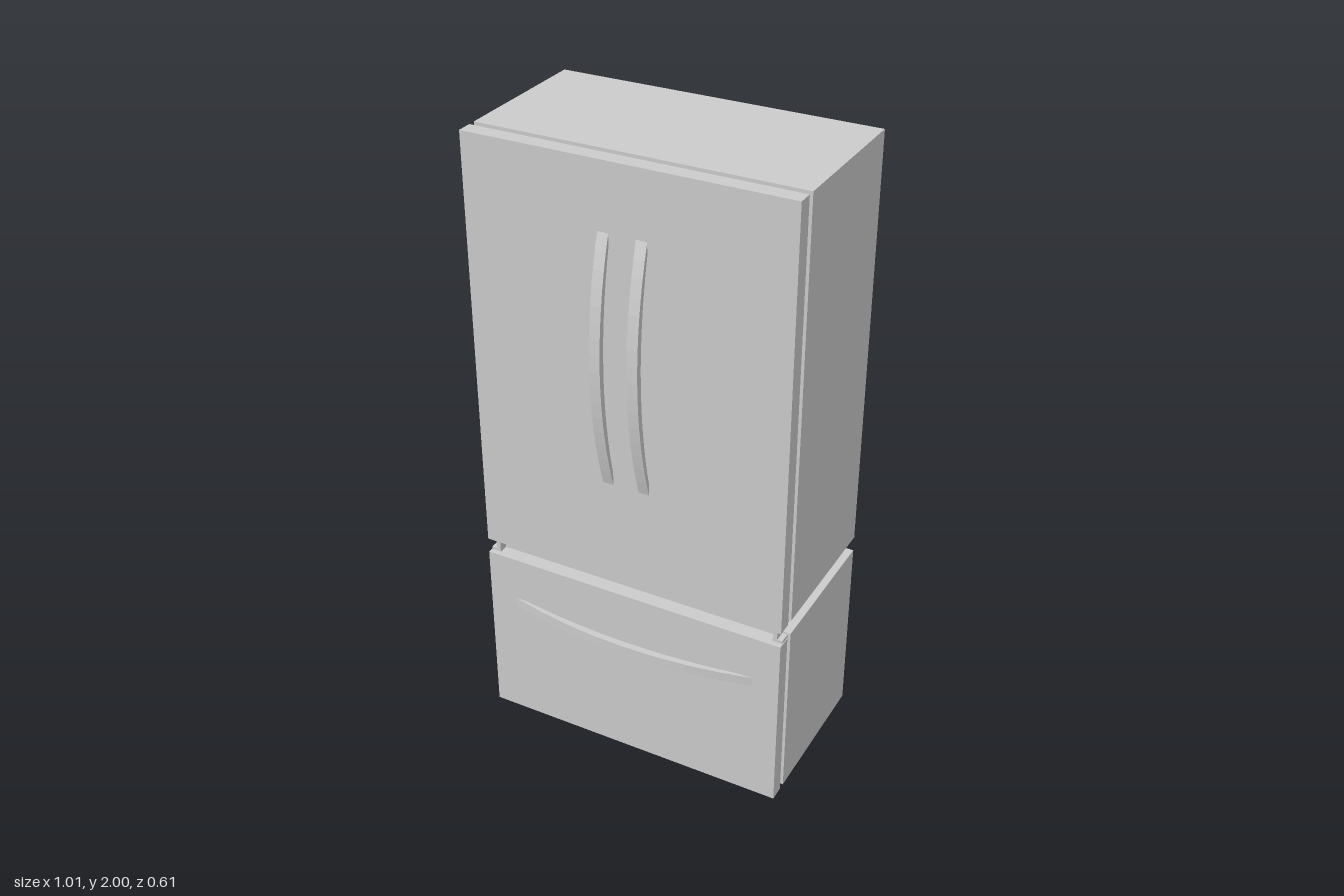
import * as THREE from 'three';

const material = new THREE.MeshStandardMaterial({ color: 0xcccccc, flatShading: true });

// Box given by its minimum and maximum on each axis
function box(name, [x0, x1], [y0, y1], [z0, z1]) {
  const mesh = new THREE.Mesh(new THREE.BoxGeometry(x1 - x0, y1 - y0, z1 - z0), material);
  mesh.position.set((x0 + x1) / 2, (y0 + y1) / 2, (z0 + z1) / 2);
  mesh.name = name;
  return mesh;
}

// Bowed bar: outline in (length, bulge), extruded across its width.
// The outer arc is longer than the inner one, so the ends sit flush on the door.
function bowGeometry(half, bulge, thickness, width, segments) {
  const inner = half * 0.9;
  const shape = new THREE.Shape();
  const rise = (t, h) => h * (1 - t * t);
  shape.moveTo(-half, 0);
  for (let i = 1; i <= segments; i++) {
    const t = -1 + (2 * i) / segments;
    shape.lineTo(half * t, rise(t, bulge));
  }
  for (let i = 0; i <= segments; i++) {
    const t = 1 - (2 * i) / segments;
    shape.lineTo(inner * t, rise(t, bulge - thickness));
  }
  const geometry = new THREE.ExtrudeGeometry(shape, { depth: width, bevelEnabled: false });
  return geometry.translate(0, 0, -width / 2);
}

export function createModel() {
  const model = new THREE.Group();
  model.name = 'refrigerator';
  const side = [-0.505, 0.505];
  const inset = [-0.475, 0.475];
  const doorFront = 0.243;

  // Cabinet halves, each with a recessed seal and a front panel
  const sections = [
    { cabinet: 'upperCabinet', seal: 'upperSeal', front: 'upperDoor', y: [0.65, 2], sealY: [0.65, 1.97] },
    { cabinet: 'lowerCabinet', seal: 'lowerSeal', front: 'drawerFront', y: [0, 0.6], sealY: [0.03, 0.6] },
  ];
  for (const s of sections) {
    model.add(box(s.cabinet, side, s.y, [-0.305, 0.172]));
    model.add(box(s.seal, inset, s.sealY, [0.165, 0.2]));
    model.add(box(s.front, side, s.y, [0.194, doorFront]));
  }

  // Recessed band joining the two halves
  model.add(box('middleBand', inset, [0.59, 0.66], [-0.288, 0.196]));

  // Small hinges in the front gap
  for (const s of [-1, 1]) {
    const hinge = new THREE.Group();
    hinge.name = s > 0 ? 'leftHinge' : 'rightHinge';
    const span = (a, b) => (s > 0 ? [a, b] : [-b, -a]);
    hinge.add(box('hingePin', span(0.472, 0.486), [0.6, 0.65], [0.19, 0.226]));
    hinge.add(box('hingePlate', span(0.475, 0.503), [0.6, 0.61], [0.19, 0.226]));
    model.add(hinge);
  }

  // Two upright door handles
  const upright = bowGeometry(0.4, 0.062, 0.02, 0.034, 16);
  for (const [name, x] of [['rightDoorHandle', -0.063], ['leftDoorHandle', 0.055]]) {
    const handle = new THREE.Mesh(upright, material);
    handle.name = name;
    // length to y, bulge to +z, width to x
    handle.rotation.setFromRotationMatrix(new THREE.Matrix4().makeBasis(
      new THREE.Vector3(0, 1, 0), new THREE.Vector3(0, 0, 1), new THREE.Vector3(1, 0, 0)));
    handle.position.set(x, 1.395, doorFront);
    model.add(handle);
  }

  // Horizontal drawer handle
  const drawerHandle = new THREE.Mesh(bowGeometry(0.415, 0.053, 0.022, 0.03, 8), material);
  drawerHandle.name = 'drawerHandle';
  drawerHandle.rotation.x = Math.PI / 2;
  drawerHandle.position.set(0.003, 0.435, doorFront);
  model.add(drawerHandle);

  return model;
}
